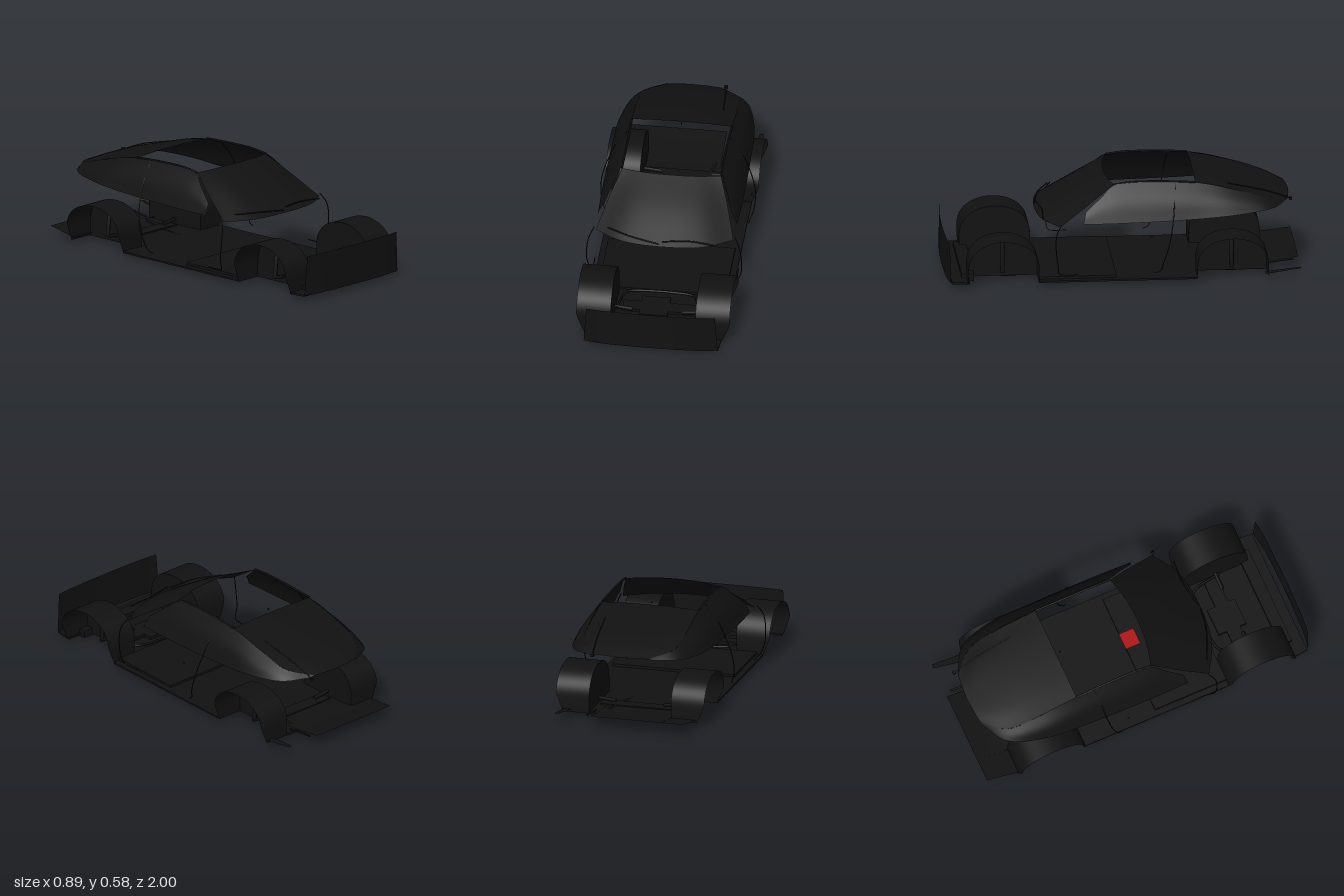
import * as THREE from 'three';

const dark = new THREE.MeshStandardMaterial({ color: 0x111111, side: THREE.DoubleSide });
const red = new THREE.MeshStandardMaterial({ color: 0xb01010, side: THREE.DoubleSide });
const V = (p) => new THREE.Vector3(p[0], p[1], p[2]);

function add(parent, name, geometry, material = dark) {
  const mesh = new THREE.Mesh(geometry, material);
  mesh.name = name;
  parent.add(mesh);
  return mesh;
}

function box(parent, name, x0, x1, y0, y1, z0, z1) {
  const m = add(parent, name, new THREE.BoxGeometry(x1 - x0, y1 - y0, z1 - z0));
  m.position.set((x0 + x1) / 2, (y0 + y1) / 2, (z0 + z1) / 2);
  return m;
}

const tube = (parent, name, pts, r = 0.003) =>
  add(parent, name, new THREE.TubeGeometry(new THREE.CatmullRomCurve3(pts.map(V)), 32, r, 6));

// Smooth sheet through a few guide curves
function sheet(curves, nu = 32, nv = 12) {
  const guides = curves.map((c) => new THREE.CatmullRomCurve3(c.map(V)));
  const pos = [], idx = [];
  for (let i = 0; i <= nu; i++) {
    const cross = new THREE.CatmullRomCurve3(guides.map((g) => g.getPoint(i / nu)));
    for (let j = 0; j <= nv; j++) pos.push(...cross.getPoint(j / nv).toArray());
  }
  for (let i = 0; i < nu; i++) {
    for (let j = 0; j < nv; j++) {
      const a = i * (nv + 1) + j, b = a + nv + 1;
      idx.push(a, b, a + 1, b, b + 1, a + 1);
    }
  }
  const g = new THREE.BufferGeometry();
  g.setAttribute('position', new THREE.Float32BufferAttribute(pos, 3));
  g.setIndex(idx);
  g.computeVertexNormals();
  return g;
}

// Completes a curve given from the left edge to the centre line
const symmetric = (half) => [...half, ...half.slice(0, -1).reverse().map(([x, y, z]) => [-x, y, z])];

// Flat horizontal plate from a half outline of [x, z]
function plate(outline, y0, y1) {
  const s = new THREE.Shape(outline.map(([x, z]) => new THREE.Vector2(x, -z)));
  const g = new THREE.ExtrudeGeometry(s, { depth: y1 - y0, bevelEnabled: false });
  return g.rotateX(-Math.PI / 2).translate(0, y0, 0);
}

// Arched wheel housing: tapered outer lip, closed inner wall
function wheelWell(parent, name, zc, top, inner) {
  const group = new THREE.Group();
  group.name = name;
  const r = 0.2, arch = [[-r, 0.025]];
  for (let i = 0; i <= 20; i++) {
    const a = Math.PI * (1 - i / 20);
    arch.push([r * Math.cos(a), 0.1 + (top - 0.1) * Math.pow(Math.sin(a), 0.8)]);
  }
  arch.push([r, 0.025]);
  const lip = (y) => 0.435 - 0.4 * Math.max(0, 0.13 - y);
  const rim = (f) => arch.map(([z, y]) => [f(y), y, zc + z]);
  add(group, name + 'Arch', sheet([rim(() => inner), rim(lip)], 64, 1));
  const wall = new THREE.Shape(arch.map(([z, y]) => new THREE.Vector2(-z, y)));
  add(group, name + 'InnerWall', new THREE.ShapeGeometry(wall).rotateY(Math.PI / 2).translate(inner, 0, zc));
  // Suspension strut and arm
  tube(group, name + 'Strut', [[inner + 0.04, top - 0.01, zc], [inner + 0.06, 0.16, zc], [inner + 0.07, 0.06, zc]], 0.012);
  tube(group, name + 'Arm', [[inner - 0.1, 0.05, zc], [inner, 0.06, zc], [inner + 0.08, 0.07, zc]], 0.01);
  parent.add(group);
}

function leftSide() {
  const side = new THREE.Group();
  // Side glass with its pillars and roof rail
  add(side, 'sideGlass', sheet([
    [[0.395, 0.36, 0.23], [0.398, 0.361, 0.12], [0.4, 0.363, 0], [0.396, 0.372, -0.35], [0.38, 0.39, -0.65], [0.31, 0.403, -0.85], [0.17, 0.413, -0.94]],
    [[0.382, 0.39, 0.222], [0.365, 0.435, 0.12], [0.355, 0.465, 0.02], [0.355, 0.47, -0.38], [0.345, 0.45, -0.65], [0.29, 0.427, -0.84], [0.16, 0.418, -0.942]],
    [[0.362, 0.42, 0.215], [0.325, 0.495, 0.125], [0.288, 0.558, 0.04], [0.284, 0.558, -0.41], [0.285, 0.506, -0.65], [0.262, 0.452, -0.83], [0.15, 0.423, -0.944]],
  ], 40, 10));
  tube(side, 'roofRail', [[0.282, 0.556, 0.05], [0.28, 0.568, -0.05], [0.28, 0.569, -0.2], [0.284, 0.56, -0.41]], 0.006);
  add(side, 'upperRoofEdge', sheet([
    [[0.29, 0.553, 0.045], [0.292, 0.553, -0.15], [0.288, 0.553, -0.41]],
    [[0.28, 0.56, 0.05], [0.276, 0.571, -0.15], [0.28, 0.56, -0.41]],
  ], 16, 2));
  // Door shut lines and handle
  tube(side, 'frontDoorSeam', [[0.4, 0.36, 0.355], [0.425, 0.31, 0.382], [0.437, 0.25, 0.388], [0.437, 0.14, 0.378], [0.415, 0.075, 0.365], [0.408, 0.07, 0.33], [0.408, 0.07, 0.26]]);
  tube(side, 'rearDoorSeam', [[0.29, 0.556, -0.3], [0.36, 0.46, -0.287], [0.4, 0.37, -0.277], [0.435, 0.25, -0.255], [0.435, 0.15, -0.225], [0.415, 0.08, -0.2], [0.408, 0.07, -0.17]]);
  box(side, 'doorHandle', 0.425, 0.432, 0.287, 0.291, -0.16, -0.145);
  wheelWell(side, 'frontWheelWell', 0.68, 0.278, 0.24);
  wheelWell(side, 'rearWheelWell', -0.615, 0.265, 0.24);
  return side;
}

export function createModel() {
  const car = new THREE.Group();
  car.name = 'carShell';

  const left = leftSide();
  left.name = 'leftSide';
  const right = leftSide();
  right.name = 'rightSide';
  right.scale.x = -1;
  car.add(left, right);

  // Windscreen and rear window
  add(car, 'windscreen', sheet([
    symmetric([[-0.39, 0.345, 0.36], [-0.23, 0.347, 0.45], [0, 0.35, 0.48]]),
    symmetric([[-0.335, 0.46, 0.19], [-0.18, 0.465, 0.265], [0, 0.468, 0.285]]),
    symmetric([[-0.28, 0.556, 0.05], [-0.15, 0.563, 0.08], [0, 0.566, 0.09]]),
  ]));
  add(car, 'rearWindow', sheet([
    symmetric([[-0.284, 0.558, -0.41], [-0.15, 0.564, -0.41], [0, 0.566, -0.41]]),
    symmetric([[-0.285, 0.51, -0.63], [-0.15, 0.517, -0.635], [0, 0.519, -0.64]]),
    symmetric([[-0.262, 0.452, -0.83], [-0.15, 0.462, -0.84], [0, 0.464, -0.845]]),
    symmetric([[-0.15, 0.42, -0.944], [-0.08, 0.42, -0.952], [0, 0.419, -0.956]]),
  ]));

  // Wipers
  for (const x of [-0.02, 0.3]) {
    tube(car, 'frontWiper', [[x, 0.365, 0.475 - 0.28 * x * x], [x - 0.15, 0.378, 0.445], [x - 0.3, 0.38, 0.47 - 0.9 * (x - 0.3) ** 2]], 0.004);
  }
  tube(car, 'rearWiper', [[0.21, 0.525, -0.6], [0.195, 0.47, -0.82], [0.18, 0.418, -0.955]], 0.003);
  box(car, 'wiperPivot', 0.17, 0.19, 0.41, 0.424, -0.965, -0.95);
  box(car, 'rearLock', -0.005, 0.005, 0.388, 0.396, -0.875, -0.865);
  box(car, 'roofAerial', -0.003, 0.003, 0.568, 0.577, -0.39, -0.38);

  // Floor pan, notched around the wheels
  const half = [[0.38, 0.97], [0.39, 0.87], [0.24, 0.87], [0.24, 0.48], [0.395, 0.48], [0.395, -0.415], [0.24, -0.415], [0.24, -0.815]];
  add(car, 'floorPan', plate([...half, ...half.map(([x, z]) => [-x, z]).reverse()], 0.022, 0.032));
  box(car, 'frontFloorStep', -0.36, 0.36, 0.022, 0.046, 0.04, 0.48);

  // Rear undertray, rising to the tail with an exhaust cut-out
  const tray = (x0, x1) => sheet([
    [[x0, 0.03, -0.6], [x0, 0.045, -0.815], [x0, 0.07, -1]],
    [[x1, 0.03, -0.6], [x1, 0.045, -0.815], [x1, 0.07, -1]],
  ], 8, 1);
  add(car, 'rearUndertray', tray(-0.24, 0.18));
  for (const [x0, x1, xb] of [[-0.39, -0.24, -0.37], [0.34, 0.39, 0.365]]) {
    add(car, 'rearUndertraySide', sheet([
      [[x0, 0.04, -0.8], [xb, 0.07, -1]],
      [[x1, 0.04, -0.8], [x1, 0.07, -1]],
    ], 4, 1));
  }
  tube(car, 'exhaustBracket', [[0.205, 0.045, -0.8], [0.205, 0.06, -0.9], [0.205, 0.067, -0.97]], 0.006);

  // Front bulkhead panel
  add(car, 'frontPanel', sheet([
    symmetric([[-0.38, 0.028, 0.975], [-0.3, 0.028, 0.99], [0, 0.028, 1]]),
    symmetric([[-0.365, 0.257, 0.982], [-0.3, 0.257, 0.99], [0, 0.257, 0.998]]),
  ], 24, 1));

  // Mechanical parts beneath the nose and along the tunnel
  box(car, 'sump', -0.1, 0.06, 0, 0.05, 0.55, 0.72);
  box(car, 'frontCrossMember', -0.2, 0.22, 0.011, 0.05, 0.6, 0.68);
  box(car, 'noseTray', -0.3, 0.3, 0.012, 0.055, 0.84, 0.91);
  box(car, 'rearCrossMember', -0.22, 0.22, 0.014, 0.04, -0.66, -0.58);
  tube(car, 'exhaustPipe', [[0.06, 0.02, 0.5], [0.06, 0.022, 0], [0.08, 0.024, -0.4], [0.15, 0.035, -0.75]], 0.009);
  tube(car, 'antiRollBar', [[-0.23, 0.06, 0.7], [-0.2, 0.055, 0.54], [-0.17, 0.05, 0.51], [0.17, 0.05, 0.51], [0.2, 0.055, 0.54], [0.23, 0.06, 0.7]], 0.007);

  // Red marker panel in the cabin
  const marker = add(car, 'redPanel', new THREE.PlaneGeometry(0.1, 0.09).rotateX(-Math.PI / 2), red);
  marker.position.set(0, 0.3, 0.045);

  return car;
}
